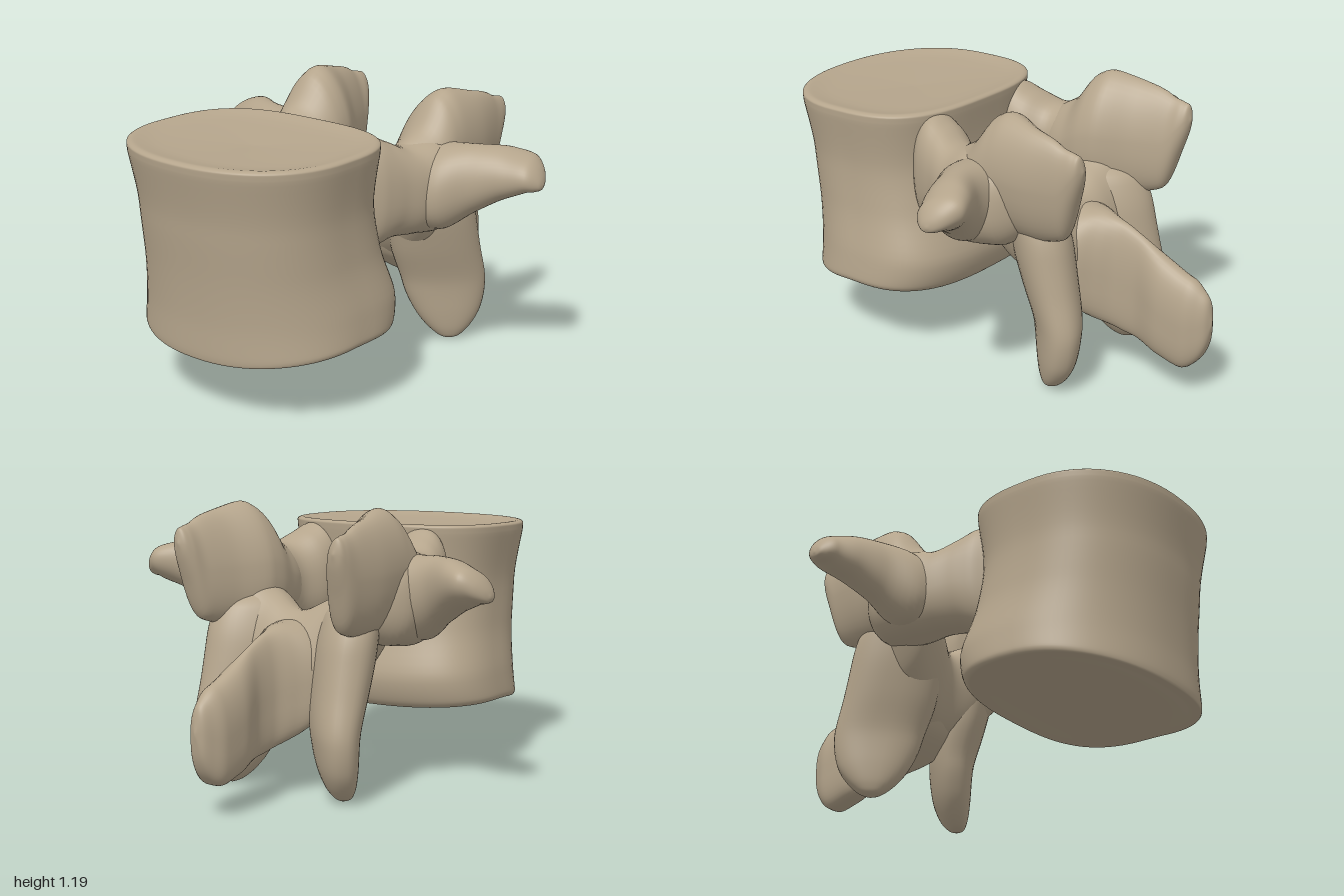
import * as THREE from 'three';

const V = (x, y, z) => new THREE.Vector3(x, y, z);

// Monotone cubic blend of one column of the section rows
function blend(rows, k, i, t) {
  const d = j => (rows[j + 1][k] - rows[j][k]);
  const slope = j => {
    if (j === 0) return d(0);
    if (j === rows.length - 1) return d(j - 1);
    const p = d(j - 1), q = d(j);
    return p * q <= 0 ? 0 : 2 * p * q / (p + q);
  };
  const t2 = t * t, t3 = t2 * t;
  return rows[i][k] * (2 * t3 - 3 * t2 + 1) + slope(i) * (t3 - 2 * t2 + t)
    + rows[i + 1][k] * (3 * t2 - 2 * t3) + slope(i + 1) * (t3 - t2);
}

// Closed smooth solid through superellipse sections [x, y, z, halfU, halfV]
function loft(rows, U, W, { power = [2, 2], sides = 40, steps = 6, warp } = {}) {
  const pos = [], index = [], rings = (rows.length - 1) * steps + 1;
  const add = v => { if (warp) warp(v); pos.push(v.x, v.y, v.z); };
  const at = r => {
    const i = Math.min(Math.floor(r / steps), rows.length - 2);
    return [0, 1, 2, 3, 4].map(k => blend(rows, k, i, r / steps - i));
  };
  for (let r = 0; r < rings; r++) {
    const [x, y, z, a, b] = at(r);
    for (let s = 0; s < sides; s++) {
      const t = s / sides * Math.PI * 2, c = Math.cos(t), n = Math.sin(t);
      const e = 2 / (n >= 0 ? power[0] : power[1]);
      add(V(x, y, z).addScaledVector(U, a * Math.sign(c) * Math.abs(c) ** e)
        .addScaledVector(W, b * Math.sign(n) * Math.abs(n) ** e));
    }
  }
  const first = rows[0], last = rows[rows.length - 1];
  add(V(...first.slice(0, 3)));
  add(V(...last.slice(0, 3)));
  const dir = V(...last.slice(0, 3)).sub(V(...first.slice(0, 3)));
  const forward = U.clone().cross(W).dot(dir) > 0;
  const tri = (a, b, c) => forward ? index.push(a, b, c) : index.push(a, c, b);
  const c0 = rings * sides, c1 = c0 + 1, end = (rings - 1) * sides;
  for (let s = 0; s < sides; s++) {
    const n = (s + 1) % sides;
    for (let r = 0; r < rings - 1; r++) {
      const o = r * sides, p = o + sides;
      tri(o + s, o + n, p + n);
      tri(o + s, p + n, p + s);
    }
    tri(c0, n, s);
    tri(c1, end + s, end + n);
  }
  const g = new THREE.BufferGeometry();
  g.setAttribute('position', new THREE.Float32BufferAttribute(pos, 3));
  g.setIndex(index);
  g.computeVertexNormals();
  return g;
}

export function createModel() {
  const model = new THREE.Group();
  model.name = 'vertebra';
  const bone = new THREE.MeshStandardMaterial({ color: 0xb5a58c });
  bone.name = 'bone';
  const X = V(1, 0, 0), Y = V(0, 1, 0), Z = V(0, 0, 1);

  const part = (name, rows, U, W, opts) => {
    const m = new THREE.Mesh(loft(rows, U, W, opts), bone);
    m.name = name;
    model.add(m);
  };
  const pair = (name, rows, U, W, opts) => {
    const flip = v => V(-v.x, v.y, v.z);
    part(name + 'Left', rows, U, W, opts);
    part(name + 'Right', rows.map(([x, ...r]) => [-x, ...r]), flip(U), flip(W), opts);
  };

  // Drum-shaped body with a waist, raised rims and shallow end plates
  const level = (y, half, front, back) => [0, y, (front + back) / 2, half, (front - back) / 2];
  part('body', [
    level(0.315, 0.03, 0.54, 0.48), level(0.307, 0.36, 0.78, 0.28),
    level(0.285, 0.49, 0.885, 0.17), level(0.286, 0.52, 0.912, 0.145),
    level(0.31, 0.535, 0.92, 0.12), level(0.42, 0.523, 0.92, 0.092),
    level(0.63, 0.488, 0.934, 0.15), level(0.82, 0.478, 0.955, 0.18),
    level(1.04, 0.506, 0.996, 0.162), level(1.068, 0.507, 0.998, 0.16),
    level(1.08, 0.485, 0.975, 0.18), level(1.066, 0.40, 0.89, 0.26),
    level(1.05, 0.03, 0.58, 0.54),
  ], X, Z, {
    power: [2.25, 3], sides: 72, steps: 6,
    warp: v => { // lower rim dips at the front, lifts at the sides, is broadest behind
      const t = THREE.MathUtils.smoothstep(0.85 - v.y, 0, 0.55);
      v.y += t * (0.08 * v.x * v.x - 0.09 * Math.max(v.z - 0.5, 0));
      v.x *= 1 - 0.12 * t * (v.z - 0.42);
      v.y += (1 - t) * 0.015 * (0.5 - v.z);
    },
  });

  // Pedicles joining the body to the arch
  pair('pedicle', [
    [0.27, 0.83, 0.27, 0.09, 0.22], [0.28, 0.83, 0.20, 0.135, 0.24],
    [0.30, 0.825, 0.12, 0.145, 0.21], [0.345, 0.805, 0.02, 0.14, 0.187],
    [0.365, 0.81, -0.10, 0.165, 0.20], [0.36, 0.82, -0.24, 0.15, 0.19],
    [0.35, 0.82, -0.33, 0.08, 0.11], [0.35, 0.82, -0.36, 0.01, 0.02],
  ], X, Y, { power: [2.3, 2.3] });

  // Transverse processes sweeping out and back to a blunt foot
  pair('transverseProcess', [
    [0.26, 0.82, -0.11, 0.11, 0.12], [0.36, 0.815, -0.11, 0.165, 0.175],
    [0.47, 0.82, -0.115, 0.152, 0.175], [0.60, 0.865, -0.16, 0.107, 0.137],
    [0.71, 0.895, -0.215, 0.108, 0.10], [0.79, 0.90, -0.25, 0.098, 0.07],
    [0.835, 0.885, -0.25, 0.065, 0.046], [0.857, 0.87, -0.245, 0.03, 0.022],
    [0.863, 0.866, -0.243, 0.005, 0.005],
  ], V(0.2, -0.2, 0.96), Y, { power: [2.1, 2.1] });

  // Superior articular processes: tall blades thinning toward the rear
  pair('superiorProcess', [
    [0.32, 0.83, 0.07, 0.02, 0.03], [0.32, 0.84, 0.01, 0.10, 0.14],
    [0.33, 0.865, -0.09, 0.145, 0.18], [0.322, 0.915, -0.19, 0.155, 0.25],
    [0.325, 0.93, -0.26, 0.152, 0.26], [0.36, 0.92, -0.40, 0.108, 0.24],
    [0.372, 0.92, -0.52, 0.07, 0.205], [0.38, 0.99, -0.585, 0.05, 0.115],
    [0.385, 1.03, -0.615, 0.03, 0.06], [0.385, 1.035, -0.627, 0.004, 0.006],
  ], X, V(0.1, 1, 0), { power: [1.8, 2.3] });

  // Laminae: sloping arch plates closing the canal
  part('lamina', [
    [-0.40, 0.79, -0.20, 0.06, 0.06], [-0.28, 0.70, -0.25, 0.20, 0.14],
    [-0.14, 0.60, -0.29, 0.22, 0.135], [0, 0.55, -0.335, 0.21, 0.12],
    [0.14, 0.60, -0.29, 0.22, 0.135], [0.28, 0.70, -0.25, 0.20, 0.14],
    [0.40, 0.79, -0.20, 0.06, 0.06],
  ], V(0, 0.94, 0.34), V(0, -0.34, 0.94), { power: [2.3, 2.3], steps: 8 });

  // Inferior articular processes: plates hanging down, faced out and forward
  pair('inferiorProcess', [
    [0.26, 0.84, -0.26, 0.04, 0.03], [0.25, 0.76, -0.29, 0.16, 0.11],
    [0.235, 0.62, -0.32, 0.20, 0.125], [0.235, 0.45, -0.362, 0.20, 0.115],
    [0.248, 0.27, -0.413, 0.188, 0.095], [0.265, 0.14, -0.42, 0.15, 0.08],
    [0.28, 0.05, -0.415, 0.085, 0.055], [0.287, 0.015, -0.41, 0.04, 0.03],
    [0.287, 0.003, -0.41, 0.005, 0.005],
  ], V(0.707, 0, -0.707), V(0.707, 0, 0.707), { power: [2.3, 2.3] });

  // Spinous process: deep blade flaring into the arch, thick along its lower rear
  part('spinousProcess', [
    [0, 0.57, -0.24, 0.05, 0.08], [0, 0.54, -0.30, 0.19, 0.18],
    [0, 0.50, -0.40, 0.18, 0.22], [0, 0.47, -0.49, 0.11, 0.24],
    [0, 0.445, -0.57, 0.06, 0.24], [0, 0.42, -0.65, 0.05, 0.23],
    [0, 0.365, -0.78, 0.08, 0.215], [0, 0.33, -0.89, 0.078, 0.20],
    [0, 0.335, -0.95, 0.055, 0.155], [0, 0.35, -0.985, 0.032, 0.095],
    [0, 0.355, -1.0, 0.004, 0.01],
  ], X, Y, { power: [2.1, 3.4] });

  return model;
}
